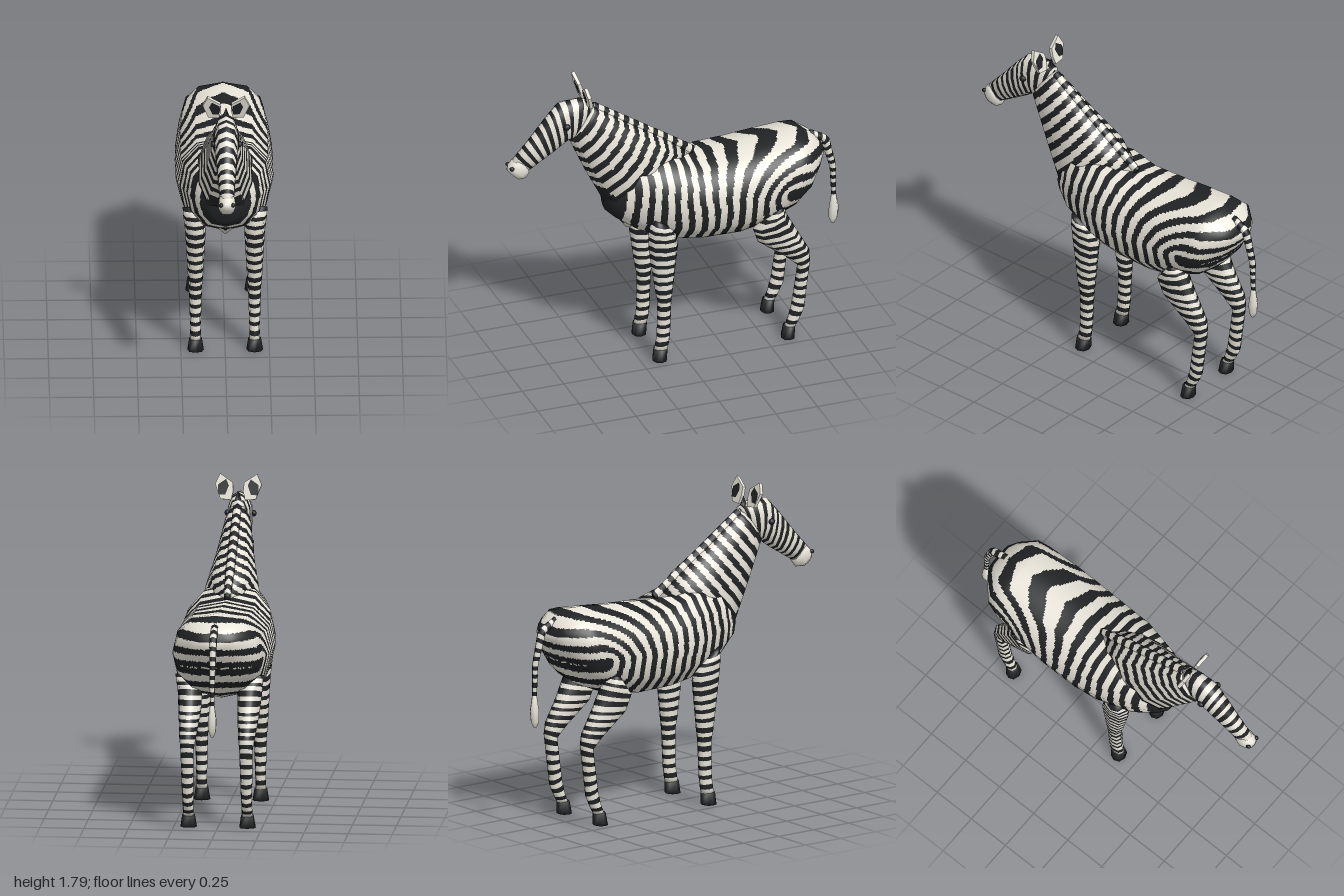
import * as THREE from 'three';

const cream = new THREE.MeshStandardMaterial({ color: 0xeeeadf });
cream.name = 'cream coat';
const black = new THREE.MeshStandardMaterial({ color: 0x202223 });
black.name = 'black stripe';

const plain = () => false;
const solid = () => true;
const isDark = (v) => v - Math.floor(v) < 0.48;
const bands = (period, offset = 0) => (p, s) => isDark(s / period + offset);

// Skin over rounded cross-sections. Each ring is [zA, yA, zB, yB, halfWidth, x]:
// A is its top/back edge, B its bottom/front edge; rings run towards the back or the ground.
// The skin is subdivided and each small quad is cream or black by the stripe rule.
function loft(name, rings, sides, stripe, step = 0.01, around = 6) {
  const mid = ([zA, yA, zB, yB, , x = 0]) => new THREE.Vector3(x, (yA + yB) / 2, (zA + zB) / 2);
  const cap = (r) => { const m = mid(r); return [m.z, m.y, m.z, m.y, 0, m.x]; };
  const all = [cap(rings[0]), ...rings, cap(rings.at(-1))];
  const mids = all.map(mid);
  const P = all.map((r, i) => Array.from({ length: sides }, (_, j) => {
    const a = (j / sides) * Math.PI * 2, c = Math.cos(a) / 2, w = Math.sin(a);
    return new THREE.Vector3(Math.sign(w) * Math.abs(w) ** 0.8 * r[4], (r[1] - r[3]) * c, (r[0] - r[2]) * c).add(mids[i]);
  }));
  const last = all.length - 1;
  const N = P.map((row, i) => row.map((p, j) => {
    if (i === 0 || i === last) {
      return new THREE.Vector3().subVectors(mids[i ? last - 1 : 1], mids[i ? last - 2 : 2]).normalize();
    }
    const du = row[(j + 1) % sides].clone().sub(row[(j + sides - 1) % sides]);
    return du.cross(P[i + 1][j].clone().sub(P[i - 1][j])).normalize();
  }));

  const cols = sides * around, pos = [], nor = [], arc = [];
  const mix = (G, i, t, j, u) => {
    const k = (j + 1) % sides;
    const a = G[i][j].clone().lerp(G[i][k], u);
    return a.lerp(G[i + 1][j].clone().lerp(G[i + 1][k], u), t);
  };
  const addRow = (i, t, s) => {
    arc.push(s);
    for (let c = 0; c <= cols; c++) {
      const j = Math.floor(c / around) % sides, u = (c % around) / around;
      pos.push(...mix(P, i, t, j, u).toArray());
      nor.push(...mix(N, i, t, j, u).normalize().toArray());
    }
  };
  let s = 0;
  for (let i = 0; i < last; i++) {
    const d = mids[i].distanceTo(mids[i + 1]);
    const n = Math.max(i === 0 || i === last - 1 ? 6 : 1, Math.ceil(d / step));
    for (let k = 0; k < n; k++) addRow(i, k / n, s + (d * k) / n);
    s += d;
  }
  addRow(last - 1, 1, s);

  const light = [], dark = [], p = new THREE.Vector3();
  const at = (i) => new THREE.Vector3().fromArray(pos, i * 3);
  for (let r = 0; r < arc.length - 1; r++) {
    for (let c = 0; c < cols; c++) {
      const a = r * (cols + 1) + c, b = a + 1, d = a + cols + 1, e = d + 1;
      p.copy(at(a)).add(at(e)).multiplyScalar(0.5);
      (stripe(p, (arc[r] + arc[r + 1]) / 2) ? dark : light).push(a, b, e, a, e, d);
    }
  }
  const g = new THREE.BufferGeometry();
  g.setAttribute('position', new THREE.Float32BufferAttribute(pos, 3));
  g.setAttribute('normal', new THREE.Float32BufferAttribute(nor, 3));
  g.setIndex([...light, ...dark]);
  g.addGroup(0, light.length, 0);
  g.addGroup(light.length, dark.length, 1);
  const mesh = new THREE.Mesh(g, [cream, black]);
  mesh.name = name;
  return mesh;
}

// Stripe rules: hoops round the barrel that bend into level bands on the rump
const { smoothstep, clamp } = THREE.MathUtils;
const chestPatch = (p) => p.z > 0.3 && (p.x / 0.13) ** 2 + ((p.y - 1.0) / 0.11) ** 2 < 1;
function bodyStripe(p) {
  const bend = smoothstep(-p.z, 0.05, 0.75);
  const start = -0.63 - 0.2 * bend * clamp((p.y - 0.98) / 0.24, 0, 1);
  const d = Math.hypot(Math.max(0, p.z - start), Math.sqrt(0.75 * bend) * (p.y - 0.95));
  return chestPatch(p) || isDark((d + 0.007 * Math.sin(p.y * 17 + p.z * 5)) / 0.074);
}
const neckStripe = (p) =>
  chestPatch(p) || isDark((p.z * 0.75 + p.y * 0.66 + 0.25 * Math.abs(p.x)) / 0.07);

function add(group, ...parts) { group.add(...parts); return group; }

function makeLeg(name, side, rings, hoof) {
  const place = (list) => list.map((r) => [...r.slice(0, 5), side * (r[5] ?? 0.167)]);
  const leg = new THREE.Group();
  leg.name = name;
  return add(leg, loft('stripedLeg', place(rings), 8, bands(0.056), 0.008, 3),
    loft('hoof', place(hoof), 8, solid, 0.1, 1));
}

function makeEar(name, side) {
  const outline = [[0.04, 0], [0.028, 0.05], [0.032, 0.1], [0.105, 0.15], [0.132, 0.09], [0.1, 0.005]];
  const shape = (k, shift) => new THREE.Shape(outline.map(([x, y]) =>
    new THREE.Vector2(side * (0.078 + shift + (x - 0.078) * k), 0.07 + (y - 0.07) * k)));
  const ear = new THREE.Group();
  ear.name = name;
  const shell = new THREE.Mesh(new THREE.ExtrudeGeometry(shape(1, 0), { depth: 0.02, bevelEnabled: false }), cream);
  shell.name = 'earShell';
  const inner = new THREE.Mesh(new THREE.ShapeGeometry(shape(0.6, -0.014)), black);
  inner.name = 'innerEar';
  inner.position.z = 0.022;
  const mark = inner.clone();
  mark.name = 'earBackMark';
  mark.rotation.y = Math.PI;
  mark.position.set(side * 0.15, 0, -0.002);
  ear.position.set(0, 1.65, 0.515);
  ear.rotation.x = 0.26;
  return add(ear, shell, inner, mark);
}

function dot(name, x, y, z, sx, sy, sz) {
  const m = new THREE.Mesh(new THREE.SphereGeometry(1, 10, 8), black);
  m.name = name;
  m.position.set(x, y, z);
  m.scale.set(sx, sy, sz);
  return m;
}

export function createModel() {
  const model = new THREE.Group();
  model.name = 'stripedHorse';

  // Trunk
  model.add(loft('body', [
    [0.41, 1.07, 0.41, 0.93, 0.07], [0.37, 1.12, 0.37, 0.89, 0.12], [0.25, 1.255, 0.25, 0.8, 0.205],
    [0.03, 1.255, 0.03, 0.715, 0.262], [-0.12, 1.205, -0.12, 0.695, 0.276], [-0.35, 1.215, -0.35, 0.69, 0.278],
    [-0.5, 1.228, -0.5, 0.72, 0.273], [-0.69, 1.243, -0.69, 0.8, 0.252], [-0.76, 1.24, -0.76, 0.87, 0.235],
    [-0.84, 1.19, -0.84, 1.0, 0.15], [-0.88, 1.14, -0.88, 1.07, 0.09],
  ], 12, bodyStripe, 0.008, 11));

  // Neck and mane ridge
  model.add(loft('neck', [
    [0.49, 1.63, 0.635, 1.43, 0.06], [0.46, 1.61, 0.62, 1.41, 0.075], [0.25, 1.47, 0.53, 1.21, 0.11],
    [0.05, 1.34, 0.41, 0.975, 0.16], [-0.12, 1.21, 0.28, 0.79, 0.1],
  ], 10, neckStripe, 0.008, 8));
  model.add(loft('mane', [
    [0.47, 1.635, 0.5, 1.59, 0.025], [0.25, 1.49, 0.28, 1.43, 0.028],
    [0.05, 1.36, 0.08, 1.3, 0.028], [-0.13, 1.24, -0.1, 1.18, 0.02],
  ], 6, neckStripe, 0.008, 2));

  // Head, listed from the nose to the poll
  model.add(loft('head', [
    [0.97, 1.35, 0.88, 1.27, 0.04], [0.87, 1.46, 0.79, 1.325, 0.05], [0.76, 1.59, 0.71, 1.375, 0.062],
    [0.68, 1.672, 0.64, 1.425, 0.071], [0.56, 1.68, 0.6, 1.43, 0.066], [0.49, 1.65, 0.54, 1.5, 0.045],
  ], 10, bands(0.05, 0.5), 0.007, 4));
  model.add(loft('muzzle', [
    [1.0, 1.295, 0.93, 1.23, 0.035], [0.995, 1.325, 0.89, 1.235, 0.05],
    [0.97, 1.35, 0.868, 1.265, 0.048], [0.94, 1.37, 0.87, 1.3, 0.04],
  ], 10, plain, 0.05, 2));
  const forelock = new THREE.Mesh(new THREE.ConeGeometry(0.03, 0.08, 6), black);
  forelock.name = 'forelock';
  forelock.position.set(0, 1.665, 0.52);
  model.add(forelock);

  // Tail with tuft
  model.add(loft('tail', [
    [-0.83, 1.21, -0.82, 1.16, 0.02], [-0.915, 1.165, -0.9, 1.12, 0.023], [-0.945, 1.13, -0.9, 1.1, 0.023],
    [-0.985, 0.95, -0.945, 0.95, 0.018], [-0.985, 0.77, -0.955, 0.77, 0.013],
  ], 6, bands(0.05), 0.008, 2));
  model.add(loft('tailTuft', [
    [-0.985, 0.77, -0.955, 0.77, 0.014], [-1.0, 0.68, -0.94, 0.68, 0.026],
    [-0.995, 0.62, -0.94, 0.62, 0.022], [-0.975, 0.585, -0.955, 0.585, 0.008],
  ], 6, plain, 0.1, 1));

  // Mirrored pairs
  for (const [label, side] of [['left', 1], ['right', -1]]) {
    model.add(makeLeg(label + 'FrontLeg', side, [
      [0.11, 0.88, 0.19, 0.92, 0.055, 0.185], [0.05, 0.82, 0.21, 0.84, 0.064, 0.172], [0.03, 0.72, 0.21, 0.74, 0.058],
      [0.06, 0.45, 0.17, 0.45, 0.043], [0.07, 0.38, 0.155, 0.38, 0.037], [0.078, 0.16, 0.16, 0.16, 0.031],
      [0.085, 0.1, 0.17, 0.1, 0.03], [0.095, 0.06, 0.178, 0.06, 0.032],
    ], [[0.093, 0.068, 0.18, 0.072, 0.036], [0.1, 0, 0.185, 0, 0.047]]));
    model.add(makeLeg(label + 'HindLeg', side, [
      [-0.59, 0.87, -0.53, 0.86, 0.055, 0.195], [-0.625, 0.79, -0.42, 0.735, 0.07, 0.17],
      [-0.69, 0.67, -0.45, 0.645, 0.064], [-0.76, 0.54, -0.62, 0.515, 0.048], [-0.765, 0.48, -0.69, 0.45, 0.038],
      [-0.73, 0.17, -0.65, 0.2, 0.032], [-0.7, 0.11, -0.63, 0.12, 0.03], [-0.67, 0.06, -0.607, 0.06, 0.032],
    ], [[-0.675, 0.07, -0.602, 0.075, 0.036], [-0.67, 0, -0.59, 0, 0.047]]));
    model.add(makeEar(label + 'Ear', side));
    model.add(dot(label + 'Eye', side * 0.075, 1.545, 0.665, 0.016, 0.018, 0.02));
    model.add(dot(label + 'Nostril', side * 0.034, 1.315, 0.982, 0.012, 0.012, 0.014));
  }
  return model;
}
